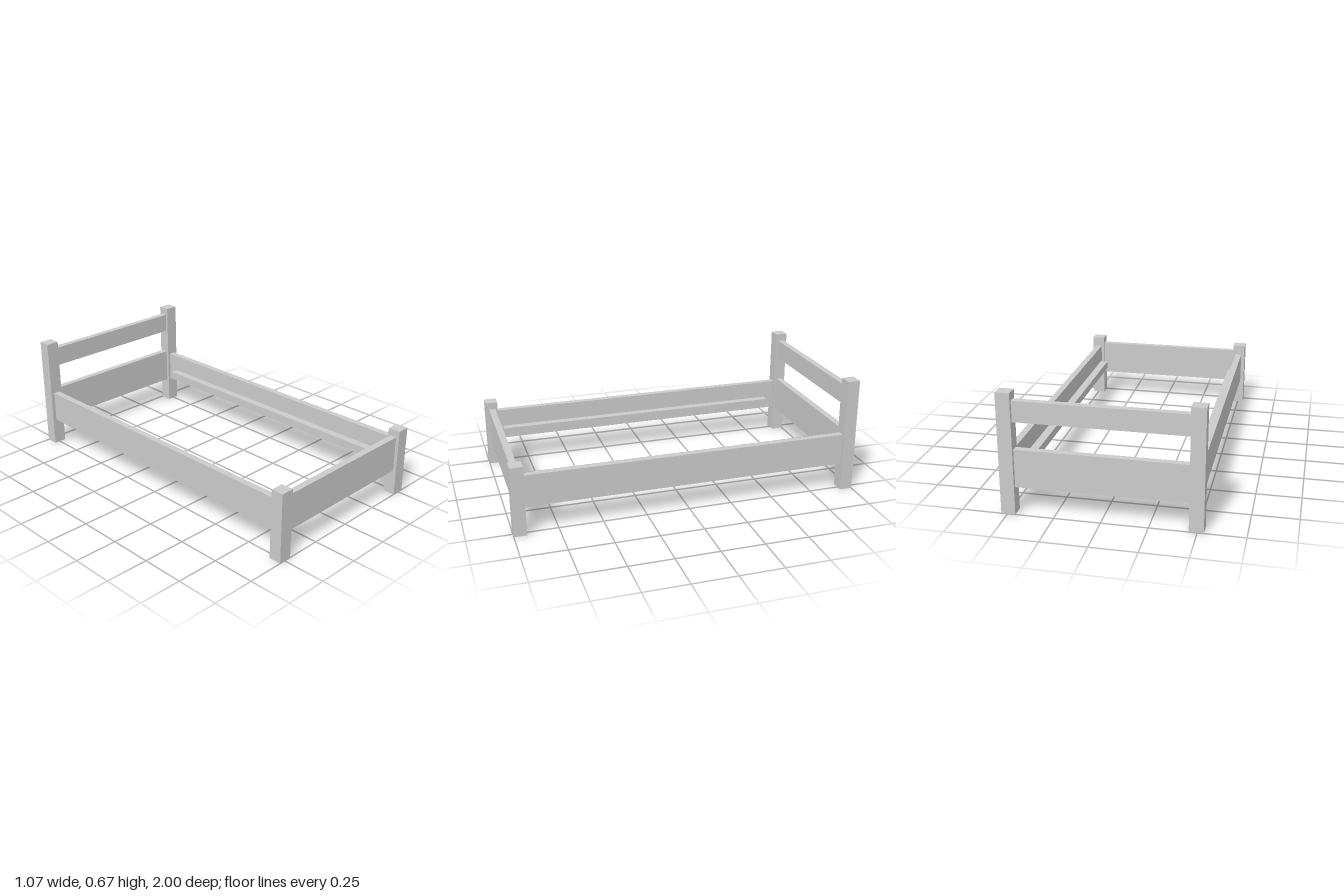
import * as THREE from 'three';

export function createModel() {
  const bed = new THREE.Group();
  bed.name = 'bedFrame';
  const wood = new THREE.MeshStandardMaterial({ color: 0xcccccc, flatShading: true });

  // Box given by its [min, max] range on each axis
  function beam(name, [x0, x1], [y0, y1], [z0, z1]) {
    const mesh = new THREE.Mesh(new THREE.BoxGeometry(x1 - x0, y1 - y0, z1 - z0), wood);
    mesh.position.set((x0 + x1) / 2, (y0 + y1) / 2, (z0 + z1) / 2);
    mesh.name = name;
    bed.add(mesh);
  }

  // Same beam on the left (+x) and mirrored on the right (-x)
  function beamPair(name, [x0, x1], y, z) {
    beam(name + 'Left', [x0, x1], y, z);
    beam(name + 'Right', [-x1, -x0], y, z);
  }

  const postX = [0.457, 0.534];
  const headZ = [-0.982, -0.944];
  const footZ = [0.943, 0.981];
  const span = [-0.457, 0.457];

  // Corner posts
  beamPair('headPost', postX, [0, 0.672], [-1, -0.928]);
  beamPair('footPost', postX, [0, 0.402], [0.928, 1]);

  // Boards across the head and foot
  beam('headTopRail', span, [0.512, 0.627], headZ);
  beam('headBoard', span, [0.15, 0.361], headZ);
  beam('footBoard', span, [0.15, 0.361], footZ);

  // Long side rails with inner slat ledges
  beamPair('sideRail', [0.474, 0.512], [0.158, 0.342], [-0.928, 0.928]);
  beamPair('slatLedge', [0.427, 0.474], [0.19, 0.237], [-0.86, 0.9]);

  return bed;
}
